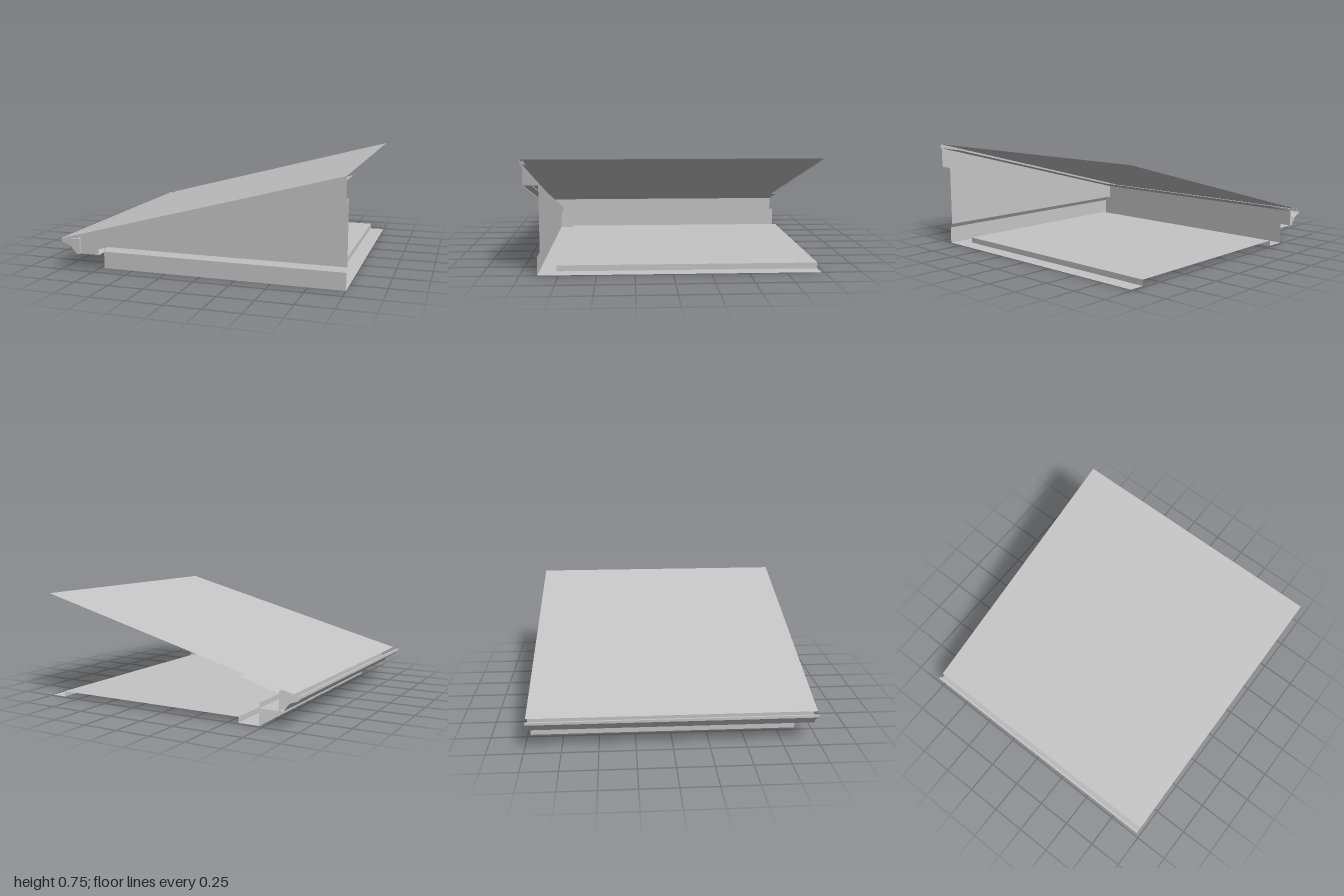
import * as THREE from 'three';

// Corner section of a building: pitched roof, gable end, eave, gutter and base.
export function createModel() {
  const group = new THREE.Group();
  const grey = new THREE.MeshStandardMaterial({ color: 0xc4c4c4, side: THREE.DoubleSide });
  grey.name = 'light grey';

  const BACK = -0.98, FRONT = 0.98, WALL_X = -0.72, FASCIA_X = -0.855;
  const roofY = (x) => 0.755 - 0.268 * (1 - x);
  const soffitY = (x) => 0.59 - 0.247 * (1 - x);

  const add = (name, geometry) => {
    const mesh = new THREE.Mesh(geometry, grey);
    mesh.name = name;
    group.add(mesh);
    return mesh;
  };

  // Open sheet: an [x, y] profile swept along z
  const sweep = (name, profile, z0, z1) => {
    const pos = [];
    for (let i = 0; i < profile.length - 1; i++) {
      const [ax, ay] = profile[i], [bx, by] = profile[i + 1];
      pos.push(ax, ay, z1, bx, by, z1, bx, by, z0, ax, ay, z1, bx, by, z0, ax, ay, z0);
    }
    const g = new THREE.BufferGeometry();
    g.setAttribute('position', new THREE.Float32BufferAttribute(pos, 3));
    g.computeVertexNormals();
    return add(name, g);
  };

  // Flat upright panel in the xy plane at a given z
  const panel = (name, points, z) => {
    const shape = new THREE.Shape(points.map(([x, y]) => new THREE.Vector2(x, y)));
    const mesh = add(name, new THREE.ShapeGeometry(shape));
    mesh.position.z = z;
    return mesh;
  };

  // Roof sheet and the edge lining below it, along the eave and the gable
  sweep('roof', [[-0.955, roofY(-0.955)], [1, roofY(1)]], BACK, FRONT);
  const liningY = (x) => roofY(x) - 0.03;
  sweep('eaveLining', [[FASCIA_X, liningY(FASCIA_X)], [-0.57, liningY(-0.57)]], BACK, FRONT - 0.01);
  sweep('gableLining', [[-0.57, liningY(-0.57)], [1, liningY(1)]], 0.735, FRONT - 0.01);

  // Gable edge trim, fascia board and sloping soffit
  panel('gableTrim', [
    [-0.955, roofY(-0.955) - 0.01], [-0.82, liningY(-0.82)], [1, liningY(1)], [1, roofY(1)], [-0.955, roofY(-0.955)],
  ], FRONT);
  panel('gableFascia', [
    [FASCIA_X, 0.115], [WALL_X, 0.115], [WALL_X, soffitY(WALL_X)], [1, soffitY(1)], [1, roofY(1)], [FASCIA_X, roofY(FASCIA_X)],
  ], 0.965);
  sweep('gableSoffit', [[WALL_X, soffitY(WALL_X)], [1, soffitY(1)]], 0.865, 0.965);
  for (const z of [0.965, 0.905]) {
    panel('soffitChannel', [
      [WALL_X, soffitY(WALL_X) - 0.008], [1, soffitY(1) - 0.008], [1, soffitY(1) + 0.015], [WALL_X, soffitY(WALL_X) + 0.015],
    ], z - 0.005);
  }

  // Eave: fascia, flat soffit
  sweep('eaveFascia', [[FASCIA_X, 0.24], [FASCIA_X, 0.115]], BACK, 0.965);
  sweep('eaveSoffit', [[FASCIA_X, 0.115], [WALL_X, 0.115]], BACK, 0.965);

  // Gutter trough and its end caps
  const gutter = [[-0.985, 0.222], [-1, 0.222], [-1, 0.205], [-0.985, 0.19], [-0.93, 0.17], [-0.905, 0.14],
    [-0.885, 0.115], [-0.86, 0.115], [-0.86, 0.225]];
  sweep('gutter', gutter, BACK, FRONT);
  panel('gutterEndCap', gutter.slice(1), FRONT);

  // Gable wall with a sloping ledge above the base
  panel('gableWall', [[WALL_X, 0.15], [1, 0.15], [1, soffitY(1) + 0.01], [WALL_X, soffitY(WALL_X) + 0.01]], 0.865);
  const ledge = new THREE.PlaneGeometry(1 - WALL_X, 0.04);
  const p = ledge.attributes.position;
  for (let i = 0; i < p.count; i++) {
    const top = p.getY(i) > 0;
    p.setXYZ(i, p.getX(i) + (1 + WALL_X) / 2, top ? 0.15 : 0.12, top ? 0.865 : 0.885);
  }
  ledge.computeVertexNormals();
  add('wallLedge', ledge);

  // Base walls
  panel('baseFront', [[WALL_X, 0], [1, 0], [1, 0.12], [WALL_X, 0.12]], 0.885);
  sweep('sideWall', [[WALL_X, 0], [WALL_X, 0.15]], BACK, 0.885);

  // Floor raised inside a lower border
  sweep('floor', [[WALL_X, 0], [-0.57, 0], [-0.57, 0.04], [0.89, 0.04], [0.89, 0], [1, 0]], BACK, 0.77);
  sweep('frontBorder', [[WALL_X, 0], [1, 0]], 0.77, 0.885);
  panel('floorStep', [[-0.57, 0], [0.89, 0], [0.89, 0.04], [-0.57, 0.04]], 0.77);

  return group;
}
